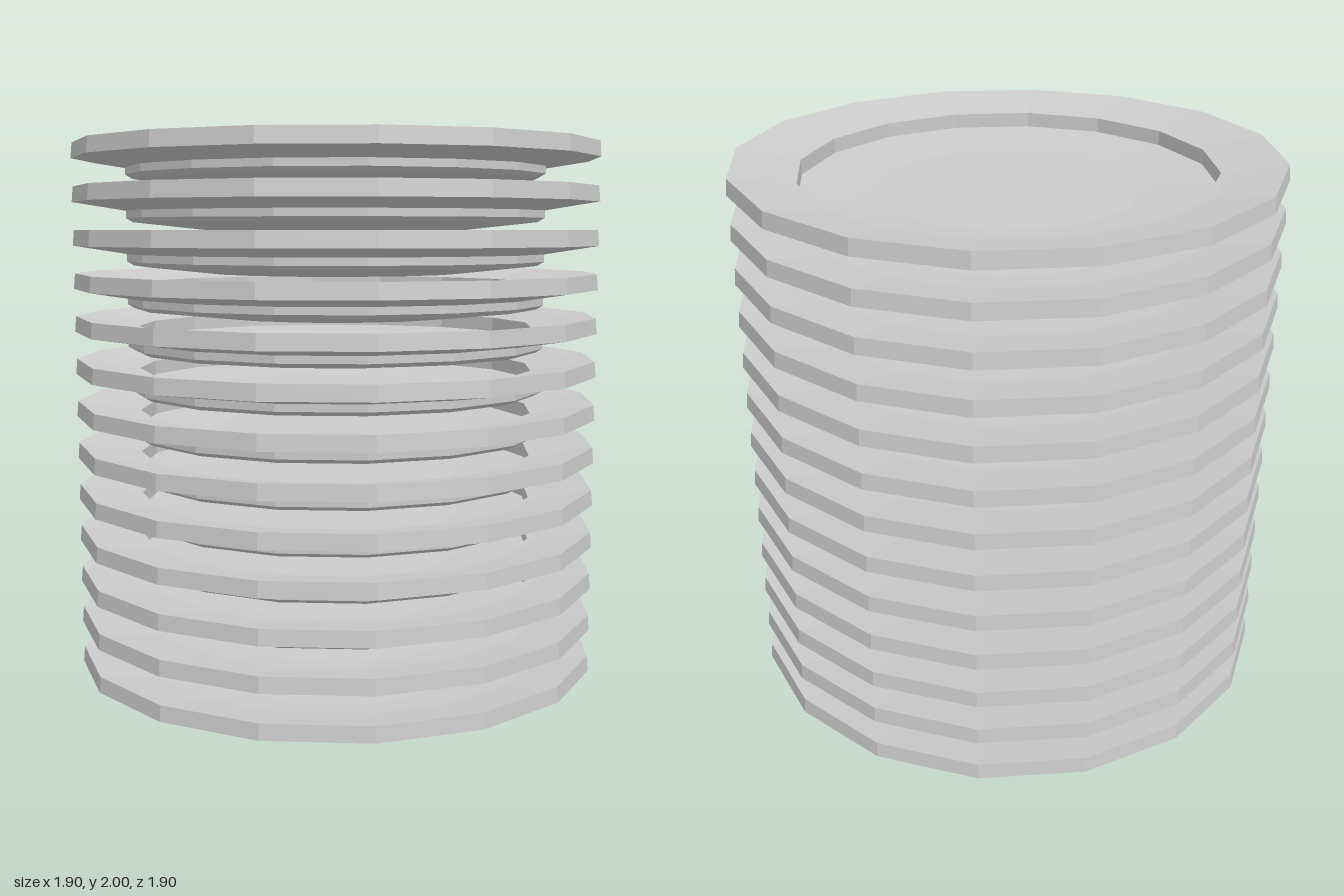
import * as THREE from 'three';

const COUNT = 13;
const SIDES = 16;
const HEIGHT = 0.155;

// Half-section of one plate: underside, foot, rim, then back into the well
const PROFILE = [
  [0, 0], [0.46, 0], [0.735, 0.029], [0.76, 0.044], [0.76, 0.07],
  [0.95, 0.1], [0.945, HEIGHT],
  [0.75, 0.121], [0.72, 0.118], [0.72, 0.066],
  [0.46, 0.045], [0, 0.045],
];

export function createModel() {
  const stack = new THREE.Group();
  stack.name = 'plateStack';

  const material = new THREE.MeshStandardMaterial({ color: 0xcccccc, flatShading: true });
  const points = PROFILE.map(([r, y]) => new THREE.Vector2(r, y));
  const geometry = new THREE.LatheGeometry(points, SIDES);

  // Evenly spaced plates, each resting on the rim below
  const pitch = (2 - HEIGHT) / (COUNT - 1);
  for (let i = 0; i < COUNT; i++) {
    const plate = new THREE.Mesh(geometry, material);
    plate.name = `plate${i + 1}`;
    plate.position.y = i * pitch;
    stack.add(plate);
  }
  return stack;
}
